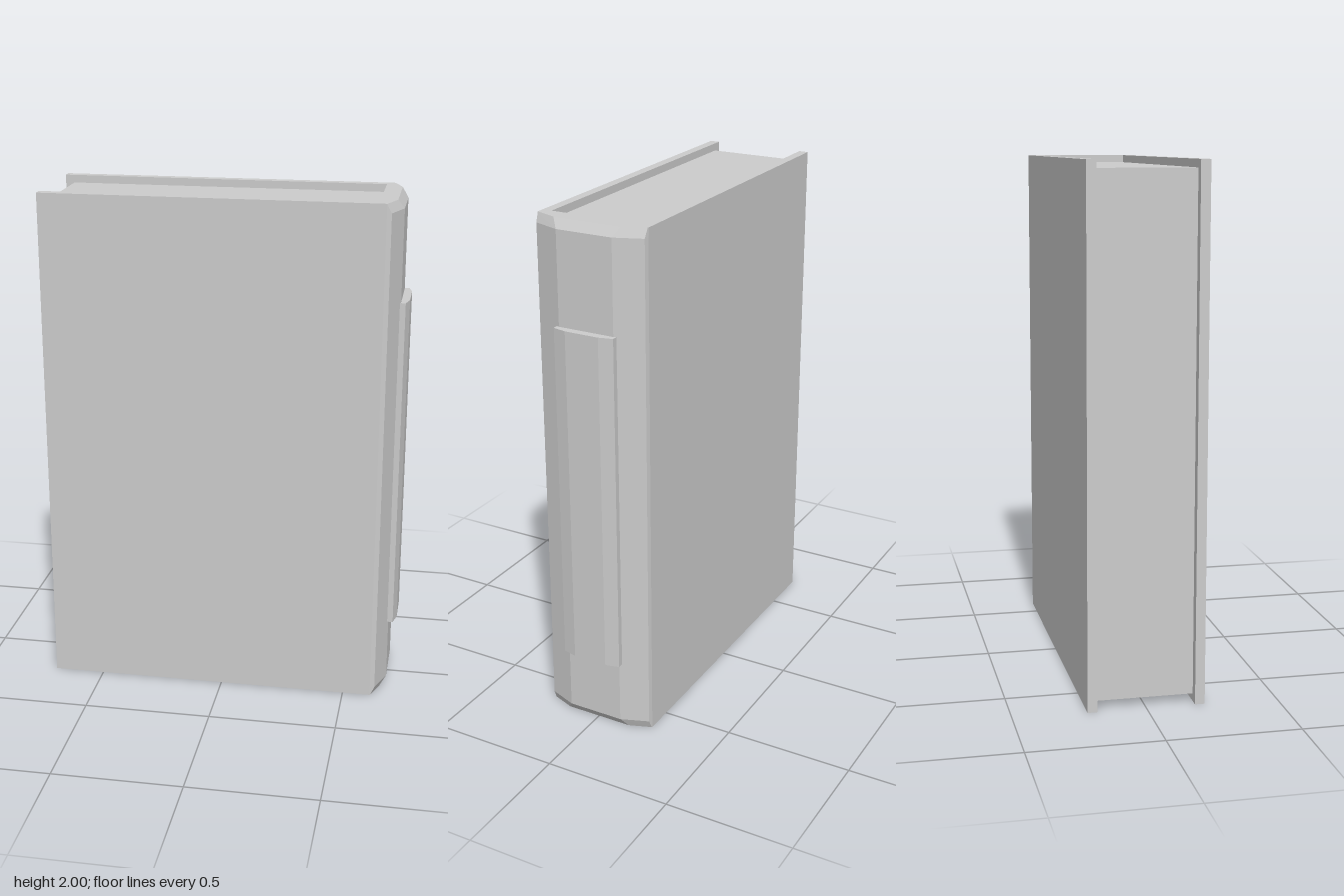
import * as THREE from 'three';

// Stacks cross-sections { y, pts: [[x, z], ...] } into a closed faceted solid.
function loft(sections) {
  const pos = [];
  const n = sections[0].pts.length;
  const put = (s, i) => pos.push(s.pts[i % n][0], s.y, s.pts[i % n][1]);
  for (let k = 0; k < sections.length - 1; k++) {
    const a = sections[k], b = sections[k + 1];
    for (let i = 0; i < n; i++) {
      put(a, i); put(b, i + 1); put(a, i + 1);
      put(a, i); put(b, i); put(b, i + 1);
    }
  }
  const cap = (s, flip) => {
    const outline = s.pts.map(([x, z]) => new THREE.Vector2(x, z));
    for (const [a, b, c] of THREE.ShapeUtils.triangulateShape(outline, [])) {
      (flip ? [a, c, b] : [a, b, c]).forEach((i) => put(s, i));
    }
  };
  cap(sections[0], false);
  cap(sections[sections.length - 1], true);
  const g = new THREE.BufferGeometry();
  g.setAttribute('position', new THREE.Float32BufferAttribute(pos, 3));
  g.computeVertexNormals();
  return g;
}

// Completes a half outline (given at +z, from spine centre outward) symmetrically.
const mirrored = (half) => [...half.map(([x, z]) => [x, -z]).reverse(), ...half];

export function createModel() {
  const group = new THREE.Group();
  const material = new THREE.MeshStandardMaterial({ color: 0xcccccc, flatShading: true });
  const add = (name, geometry) => {
    const mesh = new THREE.Mesh(geometry, material);
    mesh.name = name;
    group.add(mesh);
    return mesh;
  };

  // Cover: two boards joined by a faceted spine, whose ends are bevelled
  const boards = [[0.61, 0.222], [-0.7, 0.222], [-0.7, 0.185], [0.58, 0.185]];
  const full = mirrored([[0.668, 0.112], [0.628, 0.218], ...boards]);
  const end = mirrored([[0.644, 0.135], [0.612, 0.221], ...boards]);
  add('cover', loft([
    { y: 0, pts: end }, { y: 0.035, pts: full },
    { y: 1.965, pts: full }, { y: 2, pts: end },
  ]));

  // Page block, set back from the cover edges
  add('pages', new THREE.BoxGeometry(1.245, 1.94, 0.37)).position.set(-0.0425, 1, 0);

  // Raised label panel on the spine
  const label = mirrored([[0.699, 0.068], [0.686, 0.122], [0.65, 0.122]]);
  add('spineLabel', loft([{ y: 0.285, pts: label }, { y: 1.61, pts: label }]));

  return group;
}
